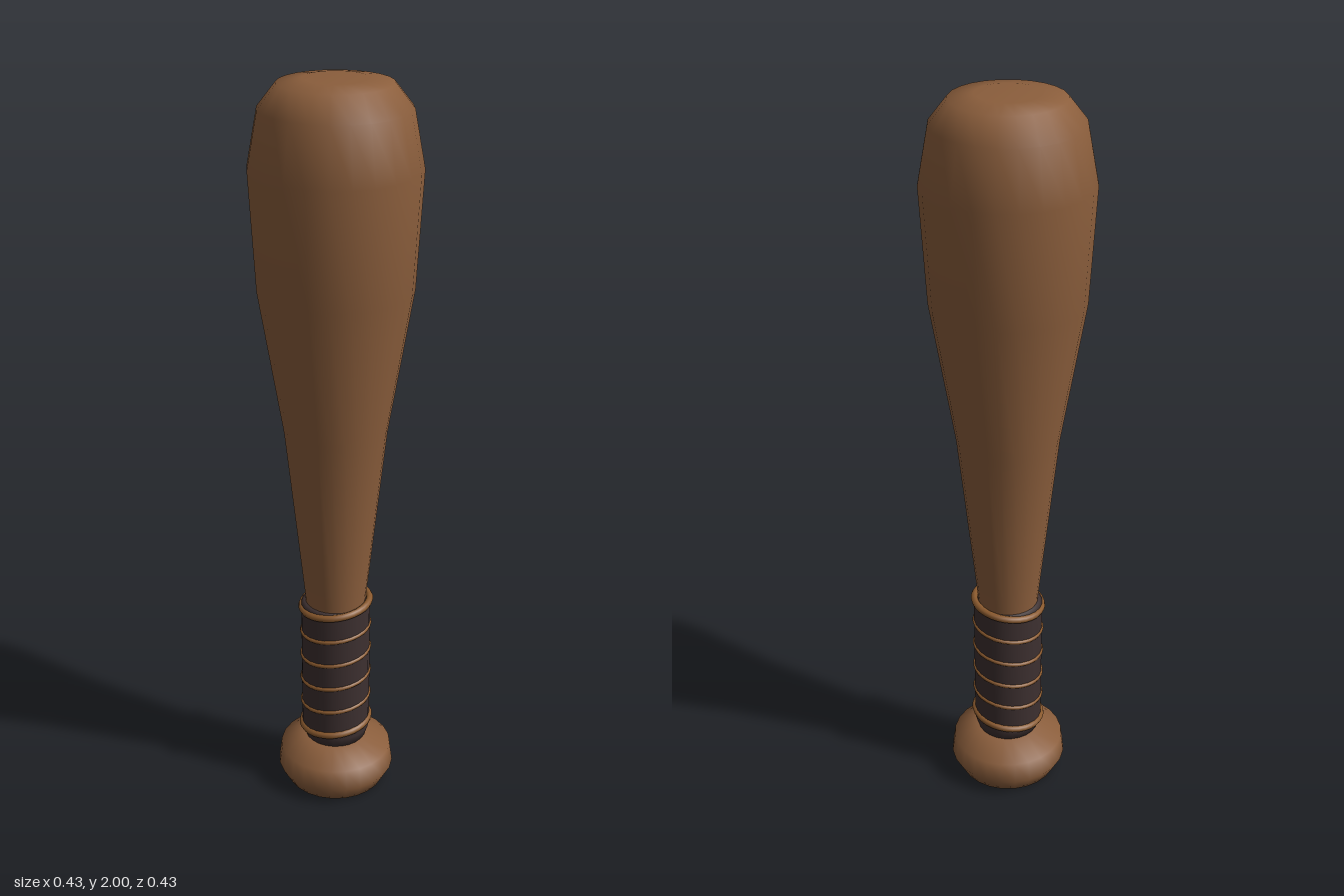
import * as THREE from 'three';

const material = (name, color) => {
  const m = new THREE.MeshStandardMaterial({ color });
  m.name = name;
  return m;
};

export function createModel() {
  const bat = new THREE.Group();
  bat.name = 'bat';
  const wood = material('wood', 0x8b5e3c);
  const leather = material('dark leather', 0x3d3030);
  const cord = material('cord', 0x8b5a2e);

  const add = (name, geometry, mat) => {
    const mesh = new THREE.Mesh(geometry, mat);
    mesh.name = name;
    bat.add(mesh);
    return mesh;
  };
  const lathe = (profile) =>
    new THREE.LatheGeometry(profile.map(([r, y]) => new THREE.Vector2(r, y)), 24);

  // Knob at the end of the handle
  add('knob', lathe([
    [0, 0], [0.138, 0.004], [0.163, 0.05], [0.155, 0.108], [0.09, 0.145], [0, 0.15],
  ]), wood);

  // Handle widening to the rounded barrel
  add('barrel', lathe([
    [0.075, 0.13], [0.083, 0.59], [0.136, 1.09], [0.2, 1.48],
    [0.217, 1.785], [0.19, 1.93], [0.143, 1.99], [0.08, 2], [0, 2],
  ]), wood);

  // Grip sleeve around the handle
  add('grip', lathe([
    [0.07, 0.142], [0.085, 0.145], [0.095, 0.175], [0.095, 0.57], [0.088, 0.58], [0.07, 0.58],
  ]), leather);

  // Tilted cord rings, the two outer ones thicker
  const ringCount = 6;
  for (let i = 0; i < ringCount; i++) {
    const outer = i === 0 || i === ringCount - 1;
    const ring = add('cordRing' + (i + 1),
      new THREE.TorusGeometry(0.094, outer ? 0.01 : 0.006, 8, 32).rotateX(Math.PI / 2), cord);
    ring.position.y = 0.19 + i * 0.0762;
    ring.rotation.z = 0.13;
  }

  return bat;
}
